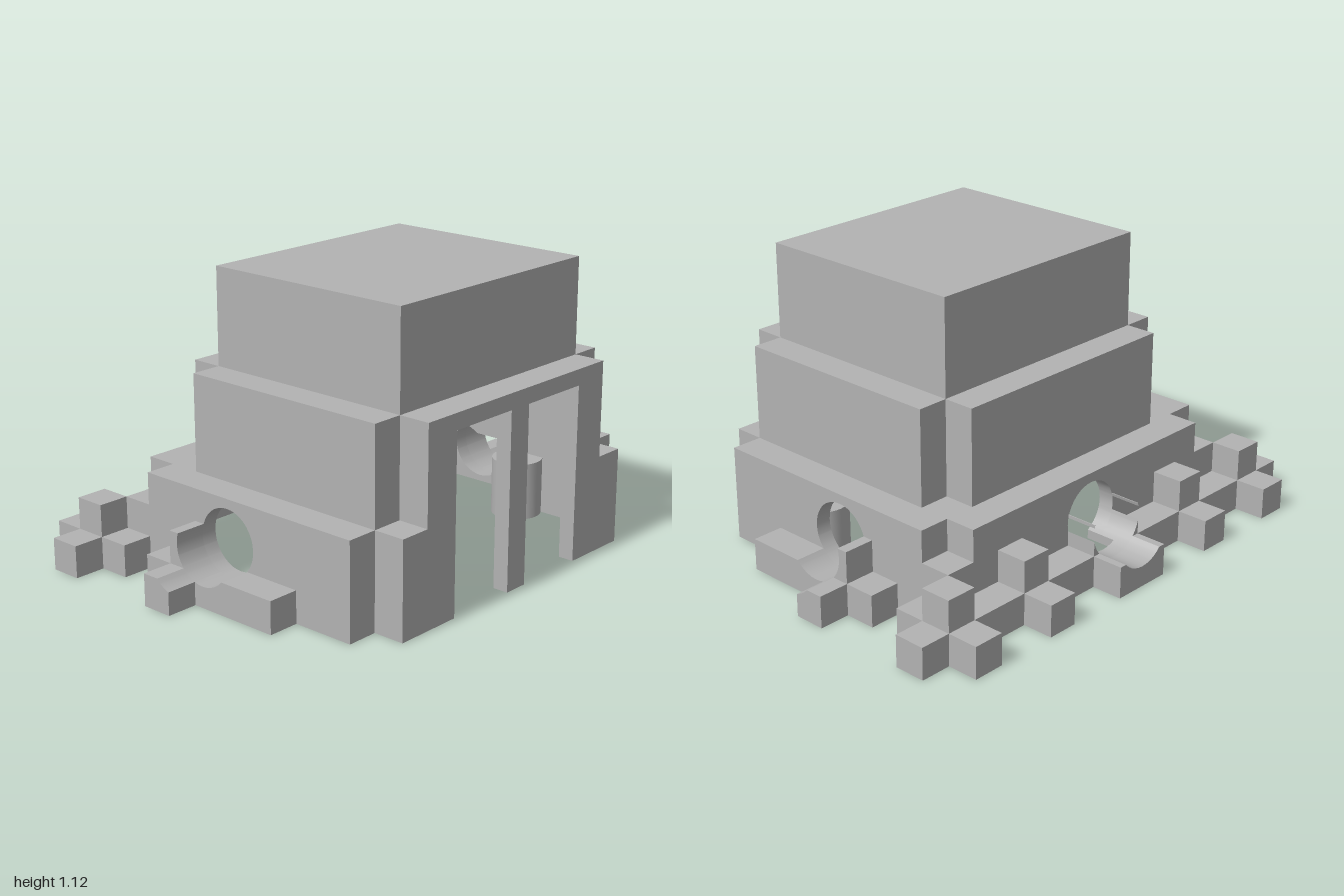
import * as THREE from 'three';
import { toCreasedNormals } from 'three/addons/utils/BufferGeometryUtils.js';

const UNIT = 0.125;          // step size of the blocks
const WALL = UNIT / 2;       // shell thickness
const HOLE = { y: 0.21, r: 0.128, sideZ: 0.04 };

// Outer height of the stepped body above any ground point.
function height(x, z) {
  const ax = Math.abs(x);
  const box = (x0, x1, z0, z1) => ax >= x0 && ax < x1 && z > z0 && z < z1;
  const nub = box(0, 0.125, -1, 1) || box(0.375, 0.5, -1, 1) || box(0.75, 0.875, -1, 1);
  if (box(0, 0.5, -0.25, 0.625)) return 1.125;
  if (box(0, 0.5, -0.375, 0.75) || box(0, 0.625, -0.25, 0.625)) return 0.75;
  if (box(0, 0.625, -0.5, 0.75) || box(0, 0.75, -0.375, 0.625)) return 0.375;
  if (box(0, 0.75, -0.5, -0.375) || box(0.75, 0.875, -0.125, 0)) return 0.25;
  if (nub && z > -0.625 && z < -0.5) return 0.25;
  if (box(0, 0.875, -0.25, 0.375) || box(0, 0.875, -0.5, -0.375)) return 0.125;
  if (box(0, 1, -0.125, 0) || box(0, 1, -0.625, -0.5)) return 0.125;
  if (nub && z > -0.75 && z < -0.5) return 0.125;
  return 0;
}

// Height of the cavity: the outer form shrunk by the wall thickness.
function cavity(x, z) {
  let low = Infinity;
  for (const dx of [-WALL, 0, WALL])
    for (const dz of [-WALL, 0, WALL]) low = Math.min(low, height(x + dx, z + dz));
  return Math.max(0, low - WALL);
}

// A minus B for lists of [low, high] spans, whose ends are functions of (x, z).
function subtract(a, b, x, z) {
  let out = a;
  for (const [lo, hi] of b) {
    const next = [];
    for (const [p, q] of out) {
      const P = p(x, z), Q = q(x, z), L = lo(x, z), H = hi(x, z);
      if (H <= P || L >= Q) { next.push([p, q]); continue; }
      if (L > P + 1e-6) next.push([p, lo]);
      if (H < Q - 1e-6) next.push([hi, q]);
    }
    out = next;
  }
  return out;
}

// Round openings: two through the sides, one through the back.
const arc = (sign, along) => (x, z) => {
  const u = along === 'x' ? x : z - HOLE.sideZ;
  return HOLE.y + sign * Math.sqrt(Math.max(0, HOLE.r ** 2 - u * u));
};
const sideHole = [arc(-1, 'z'), arc(1, 'z')];
const backHole = [arc(-1, 'x'), arc(1, 'x')];

// Solid spans of the shell above one ground point.
function spans(x, z) {
  const ax = Math.abs(x), top = height(x, z), low = cavity(x, z);
  if (top === 0) return [];
  if (z > 0.75 - WALL && ax > 0.05 && ax < 0.35) {   // twin doorways
    return [[() => 0.6875, () => top]];
  }
  const solid = [[() => low, () => top]];
  if (z < -0.375 && ax < HOLE.r) return subtract(solid, [backHole], x, z);
  if (ax > 0.5 && Math.abs(z - HOLE.sideZ) < HOLE.r) return subtract(solid, [sideHole], x, z);
  return solid;
}

// Grid lines: block steps plus points round the hole.
function gridLines(limit, centre, extra) {
  const lines = [...extra];
  for (let v = -limit; v <= limit + 1e-6; v += WALL) lines.push(v);
  for (let a = 0; a <= 180; a += 10) lines.push(centre + HOLE.r * Math.cos(a * Math.PI / 180));
  for (const y of [0.125, 0.1875, 0.25, 0.3125]) {
    const d = Math.sqrt(HOLE.r ** 2 - (y - HOLE.y) ** 2);
    lines.push(centre - d, centre + d);
  }
  lines.sort((p, q) => p - q);
  return lines.filter((v, i) => i === 0 || v - lines[i - 1] > 1e-5);
}

// Skin the shell, grouping the faces by tier height.
function buildTiers() {
  const xs = gridLines(1, 0, [-0.35, -0.05, 0.05, 0.35]);
  const zs = gridLines(0.75, HOLE.sideZ, []);
  const tiers = new Map();
  const mid = (list, i) => {
    if (i < 0) return list[0] - 0.01;
    if (i >= list.length - 1) return list[list.length - 1] + 0.01;
    return (list[i] + list[i + 1]) / 2;
  };
  const cells = new Map();
  const cell = (i, j) => {
    const key = i * 1000 + j;
    if (!cells.has(key)) cells.set(key, spans(mid(xs, i), mid(zs, j)));
    return cells.get(key);
  };
  const A = new THREE.Vector3(), B = new THREE.Vector3();
  const tri = (out, p, q, r) => {
    A.subVectors(q, p).cross(B.subVectors(r, p));
    if (A.length() > 1e-9) for (const v of [p, q, r]) out.push(v.x, v.y, v.z);
  };
  const quad = (out, p, q, r, s) => { tri(out, p, q, r); tri(out, p, r, s); };
  const at = (f, [x, z]) => new THREE.Vector3(x, f(x, z), z);

  for (let i = 0; i < xs.length - 1; i++) {
    for (let j = 0; j < zs.length - 1; j++) {
      const own = cell(i, j);
      if (!own.length) continue;
      const tier = height(mid(xs, i), mid(zs, j));
      if (!tiers.has(tier)) tiers.set(tier, []);
      const out = tiers.get(tier);
      const a = [xs[i], zs[j]], b = [xs[i], zs[j + 1]];
      const c = [xs[i + 1], zs[j + 1]], d = [xs[i + 1], zs[j]];
      for (const [lo, hi] of own) {
        quad(out, at(hi, a), at(hi, b), at(hi, c), at(hi, d));
        quad(out, at(lo, d), at(lo, c), at(lo, b), at(lo, a));
      }
      const sides = [[c, d, i + 1, j], [a, b, i - 1, j], [b, c, i, j + 1], [d, a, i, j - 1]];
      for (const [p, q, ni, nj] of sides) {
        const open = subtract(own, cell(ni, nj), (p[0] + q[0]) / 2, (p[1] + q[1]) / 2);
        for (const [lo, hi] of open) quad(out, at(lo, p), at(lo, q), at(hi, q), at(hi, p));
      }
    }
  }
  return tiers;
}

export function createModel() {
  const model = new THREE.Group();
  model.name = 'steppedHousing';
  const grey = new THREE.MeshStandardMaterial({ color: 0xb2b2b2 });
  grey.name = 'plainGrey';

  // Hollow stepped shell, one mesh per tier
  const names = { 1.125: 'topBlock', 0.75: 'middleTier', 0.375: 'baseTier', 0.25: 'raisedSteps', 0.125: 'lowSteps' };
  for (const [tier, points] of buildTiers()) {
    const geo = new THREE.BufferGeometry();
    geo.setAttribute('position', new THREE.Float32BufferAttribute(points, 3));
    geo.computeVertexNormals();
    const mesh = new THREE.Mesh(toCreasedNormals(geo, 0.6), grey);
    mesh.name = names[tier];
    model.add(mesh);
  }

  // Screw posts inside the side walls, with blind holes from below
  const profile = [[0, 0.16], [0.035, 0.16], [0.035, 0], [0.1, 0], [0.1, 0.23], [0, 0.23]]
    .map(([r, y]) => new THREE.Vector2(r, y));
  const postGeo = toCreasedNormals(new THREE.LatheGeometry(profile, 32), 0.6);
  for (const side of [1, -1]) {
    const post = new THREE.Mesh(postGeo, grey);
    post.name = side > 0 ? 'leftScrewPost' : 'rightScrewPost';
    post.position.set(side * 0.63, 0, 0.27);
    model.add(post);
  }
  return model;
}
